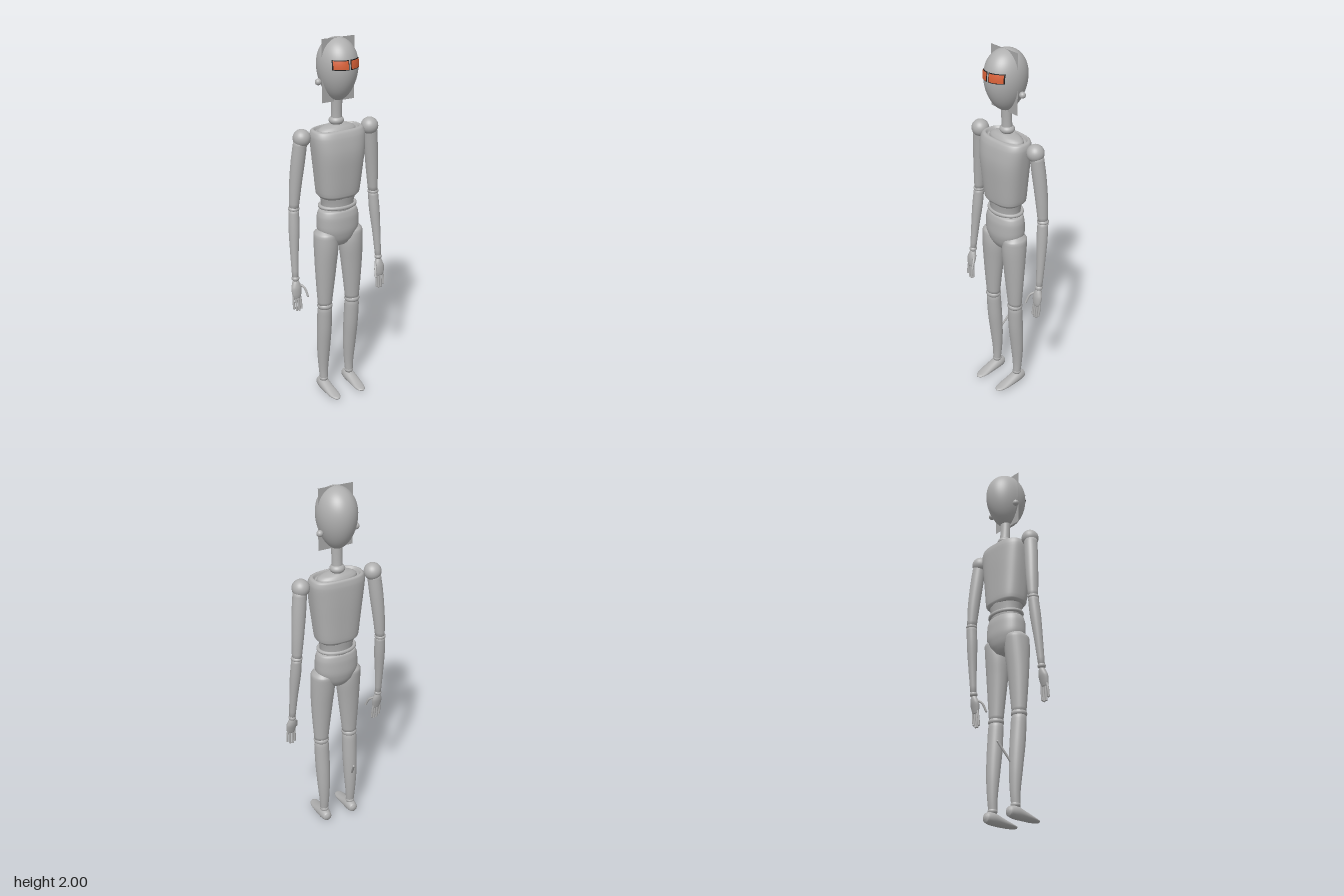
import * as THREE from 'three';

const shell = new THREE.MeshStandardMaterial({ color: 0xb0b0b0 });
shell.name = 'shellGrey';
const sheet = new THREE.MeshStandardMaterial({ color: 0xa6a6a6, side: THREE.DoubleSide });
sheet.name = 'sheetGrey';
const lens = new THREE.MeshStandardMaterial({ color: 0xdb6238 });
lens.name = 'lensOrange';
const dark = new THREE.MeshStandardMaterial({ color: 0x1c1a1a });
dark.name = 'frameBlack';

// Smooth loft through sections [y, cx, cz, rx, rz], listed upwards; n sets squareness
function loft(sections, { n = 2, seg = 32, steps = 4 } = {}) {
  const path = new THREE.CatmullRomCurve3(sections.map(s => new THREE.Vector3(s[1], s[0], s[2])));
  const size = new THREE.CatmullRomCurve3(sections.map(s => new THREE.Vector3(s[3], s[4], 0)));
  const rows = (sections.length - 1) * steps;
  const pos = [], idx = [];
  const pw = v => Math.sign(v) * Math.pow(Math.abs(v), 2 / n);
  for (let i = 0; i <= rows; i++) {
    const c = path.getPoint(i / rows), r = size.getPoint(i / rows);
    for (let j = 0; j < seg; j++) {
      const a = (j / seg) * Math.PI * 2;
      pos.push(c.x + r.x * pw(Math.cos(a)), c.y, c.z + r.y * pw(Math.sin(a)));
      if (i < rows) {
        const k = (j + 1) % seg, p = i * seg, q = p + seg;
        idx.push(p + j, q + j, p + k, p + k, q + j, q + k);
      }
    }
  }
  // End caps
  const lo = pos.length / 3, hi = lo + 1, top = rows * seg;
  const a = path.getPoint(0), b = path.getPoint(1);
  pos.push(a.x, a.y, a.z, b.x, b.y, b.z);
  for (let j = 0; j < seg; j++) {
    const k = (j + 1) % seg;
    idx.push(lo, j, k, hi, top + k, top + j);
  }
  const g = new THREE.BufferGeometry();
  g.setAttribute('position', new THREE.Float32BufferAttribute(pos, 3));
  g.setIndex(idx);
  g.computeVertexNormals();
  return g;
}

function add(parent, name, geometry, material = shell) {
  const m = new THREE.Mesh(geometry, material);
  m.name = name;
  parent.add(m);
  return m;
}

function ball(parent, name, x, y, z, rx, ry = rx, rz = rx) {
  const m = add(parent, name, new THREE.SphereGeometry(1, 28, 18));
  m.position.set(x, y, z);
  m.scale.set(rx, ry, rz);
}

// Thin rod through a few points
function rod(parent, name, points, r) {
  const pts = points.map(p => new THREE.Vector3(...p));
  add(parent, name, new THREE.TubeGeometry(new THREE.CatmullRomCurve3(pts), 10, r, 8));
  for (const p of [pts[0], pts[pts.length - 1]]) ball(parent, name + 'Tip', p.x, p.y, p.z, r);
}

// Egg-shaped head
const HEAD = { y: 1.84, z: -0.015, rx: 0.1, ry: 0.16, rz: 0.117, taper: 0.15 };

function headGeometry() {
  const g = new THREE.SphereGeometry(1, 48, 32), p = g.attributes.position;
  for (let i = 0; i < p.count; i++) {
    const f = 1 + HEAD.taper * p.getY(i);
    p.setXYZ(i, p.getX(i) * HEAD.rx * f, HEAD.y + p.getY(i) * HEAD.ry, HEAD.z + p.getZ(i) * HEAD.rz * f);
  }
  g.computeVertexNormals();
  return g;
}

// Patch wrapped on the front of the head
function facePatch(x0, x1, y0, y1, lift) {
  const g = new THREE.PlaneGeometry(x1 - x0, y1 - y0, 16, 6), p = g.attributes.position;
  for (let i = 0; i < p.count; i++) {
    const x = p.getX(i) + (x0 + x1) / 2, y = p.getY(i) + (y0 + y1) / 2;
    const v = (y - HEAD.y) / HEAD.ry, f = 1 + HEAD.taper * v, u = x / (HEAD.rx * f);
    const w = Math.sqrt(Math.max(0, 1 - u * u - v * v));
    p.setXYZ(i, x * lift, y, HEAD.z + HEAD.rz * f * w * lift);
  }
  g.computeVertexNormals();
  return g;
}

function buildHead(root) {
  const head = new THREE.Group();
  head.name = 'head';
  root.add(head);
  add(head, 'skull', headGeometry());
  const plate = add(head, 'headPlate', new THREE.PlaneGeometry(0.19, 0.322), sheet);
  plate.position.set(0, 1.839, -0.005);
  for (const s of [-1, 1]) {
    const [a, b] = s > 0 ? [0.004, 0.076] : [-0.076, -0.004];
    add(head, 'eyeFrame', facePatch(a, b, 1.857, 1.907, 1.02), dark);
    add(head, 'eyeLens', facePatch(a + 0.004, b - 0.004, 1.861, 1.903, 1.035), lens);
    ball(head, 'earKnob', s * 0.1, 1.782, -0.032, 0.017);
  }
}

function buildBody(root) {
  add(root, 'neck', loft([[1.54, 0, -0.024, 0.03, 0.03], [1.62, 0, -0.021, 0.028, 0.026], [1.73, 0, -0.016, 0.03, 0.027]]));
  ball(root, 'neckJoint', 0, 1.573, -0.024, 0.04, 0.026, 0.039);
  add(root, 'collar', loft([[1.5, 0, -0.02, 0.113, 0.062], [1.53, 0, -0.02, 0.108, 0.058],
    [1.545, 0, -0.021, 0.085, 0.048], [1.556, 0, -0.022, 0.04, 0.036]]));
  add(root, 'torso', loft([[1.17, 0, -0.012, 0.1, 0.075], [1.187, 0, -0.012, 0.115, 0.085],
    [1.3, 0, -0.009, 0.129, 0.093], [1.42, 0, -0.008, 0.143, 0.098], [1.5, 0, -0.014, 0.15, 0.092],
    [1.532, 0, -0.018, 0.142, 0.082], [1.538, 0, -0.02, 0.128, 0.07], [1.52, 0, -0.02, 0.115, 0.06]],
  { n: 2.6, seg: 56 }));
  add(root, 'waist', loft([[1.09, 0, -0.013, 0.085, 0.066], [1.14, 0, -0.013, 0.092, 0.072], [1.19, 0, -0.012, 0.104, 0.08]]));
  const ring = add(root, 'waistRing', new THREE.TorusGeometry(0.1, 0.01, 12, 48).rotateX(Math.PI / 2));
  ring.scale.z = 0.74;
  ring.position.set(0, 1.118, -0.014);
  add(root, 'pelvis', loft([[0.888, 0, -0.012, 0.012, 0.015], [0.898, 0, -0.012, 0.052, 0.045],
    [0.94, 0, -0.012, 0.095, 0.071], [1.0, 0, -0.012, 0.118, 0.082], [1.06, 0, -0.012, 0.117, 0.08],
    [1.095, 0, -0.013, 0.106, 0.072], [1.103, 0, -0.013, 0.085, 0.06]], { n: 2.2, seg: 40 }));
}

function buildArm(root, s) {
  const arm = new THREE.Group();
  arm.name = s > 0 ? 'leftArm' : 'rightArm';
  root.add(arm);
  ball(arm, 'shoulder', s * 0.204, 1.51, -0.024, 0.046);
  add(arm, 'upperArm', loft([[1.13, s * 0.245, -0.046, 0.025, 0.027], [1.25, s * 0.236, -0.043, 0.032, 0.033],
    [1.4, s * 0.221, -0.034, 0.037, 0.036], [1.5, s * 0.21, -0.026, 0.036, 0.036]]));
  ball(arm, 'elbow', s * 0.246, 1.13, -0.046, 0.03, 0.018, 0.031);
  add(arm, 'forearm', loft([[0.755, s * 0.263, -0.011, 0.017, 0.017], [0.9, s * 0.258, -0.025, 0.023, 0.023],
    [1.04, s * 0.25, -0.038, 0.029, 0.029], [1.13, s * 0.246, -0.046, 0.027, 0.028]]));
  ball(arm, 'wrist', s * 0.263, 0.748, -0.01, 0.021, 0.017, 0.021);
  // Hand
  add(arm, 'palm', loft([[0.642, s * 0.265, 0.008, 0.019, 0.01], [0.66, s * 0.265, 0.006, 0.026, 0.014],
    [0.695, s * 0.264, 0, 0.029, 0.019], [0.72, s * 0.263, -0.005, 0.022, 0.018], [0.74, s * 0.263, -0.009, 0.013, 0.013]]));
  [[0.286, 0.585], [0.27, 0.57], [0.255, 0.568], [0.242, 0.577]].forEach(([x, y], i) => {
    const root0 = 0.282 - i * 0.0115;
    rod(arm, 'finger', [[s * root0, 0.665, 0.004], [s * (x + 0.001), 0.62, 0.008], [s * x, y, 0.012]], 0.0062);
  });
  rod(arm, 'thumb', [[s * 0.245, 0.713, 0], [s * 0.226, 0.695, 0.02], [s * 0.217, 0.652, 0.04]], 0.0062);
}

function buildLeg(root, s) {
  const leg = new THREE.Group();
  leg.name = s > 0 ? 'leftLeg' : 'rightLeg';
  root.add(leg);
  add(leg, 'thigh', loft([[0.545, s * 0.087, -0.003, 0.039, 0.035], [0.65, s * 0.085, -0.002, 0.049, 0.043],
    [0.78, s * 0.081, -0.002, 0.06, 0.054], [0.9, s * 0.077, -0.004, 0.066, 0.066],
    [0.965, s * 0.082, -0.008, 0.058, 0.067], [0.99, s * 0.085, -0.01, 0.032, 0.04]]));
  ball(leg, 'knee', s * 0.087, 0.543, -0.003, 0.043, 0.026, 0.041);
  add(leg, 'shin', loft([[0.06, s * 0.084, -0.024, 0.022, 0.021], [0.13, s * 0.084, -0.028, 0.027, 0.025],
    [0.25, s * 0.085, -0.024, 0.036, 0.034], [0.4, s * 0.086, -0.012, 0.041, 0.04],
    [0.51, s * 0.087, -0.005, 0.041, 0.039], [0.545, s * 0.087, -0.003, 0.034, 0.032]]));
  ball(leg, 'ankle', s * 0.084, 0.07, -0.026, 0.025, 0.018, 0.025);
  // Foot is lofted from heel to toe, then laid forward
  add(leg, 'foot', loft([[-0.077, s * 0.084, -0.034, 0.008, 0.008], [-0.068, s * 0.084, -0.033, 0.024, 0.025],
    [-0.03, s * 0.084, -0.033, 0.032, 0.033], [0.03, s * 0.084, -0.024, 0.032, 0.024],
    [0.085, s * 0.082, -0.016, 0.03, 0.014], [0.12, s * 0.081, -0.013, 0.02, 0.008],
    [0.131, s * 0.081, -0.012, 0.005, 0.003]]).rotateX(Math.PI / 2));
}

export function createModel() {
  const root = new THREE.Group();
  root.name = 'mannequin';
  buildHead(root);
  buildBody(root);
  for (const s of [-1, 1]) {
    buildArm(root, s);
    buildLeg(root, s);
  }
  // Loose rod behind the right calf
  rod(root, 'calfRod', [[-0.08, 0.28, -0.05], [-0.068, 0.33, -0.085], [-0.055, 0.38, -0.118]], 0.006);
  return root;
}
